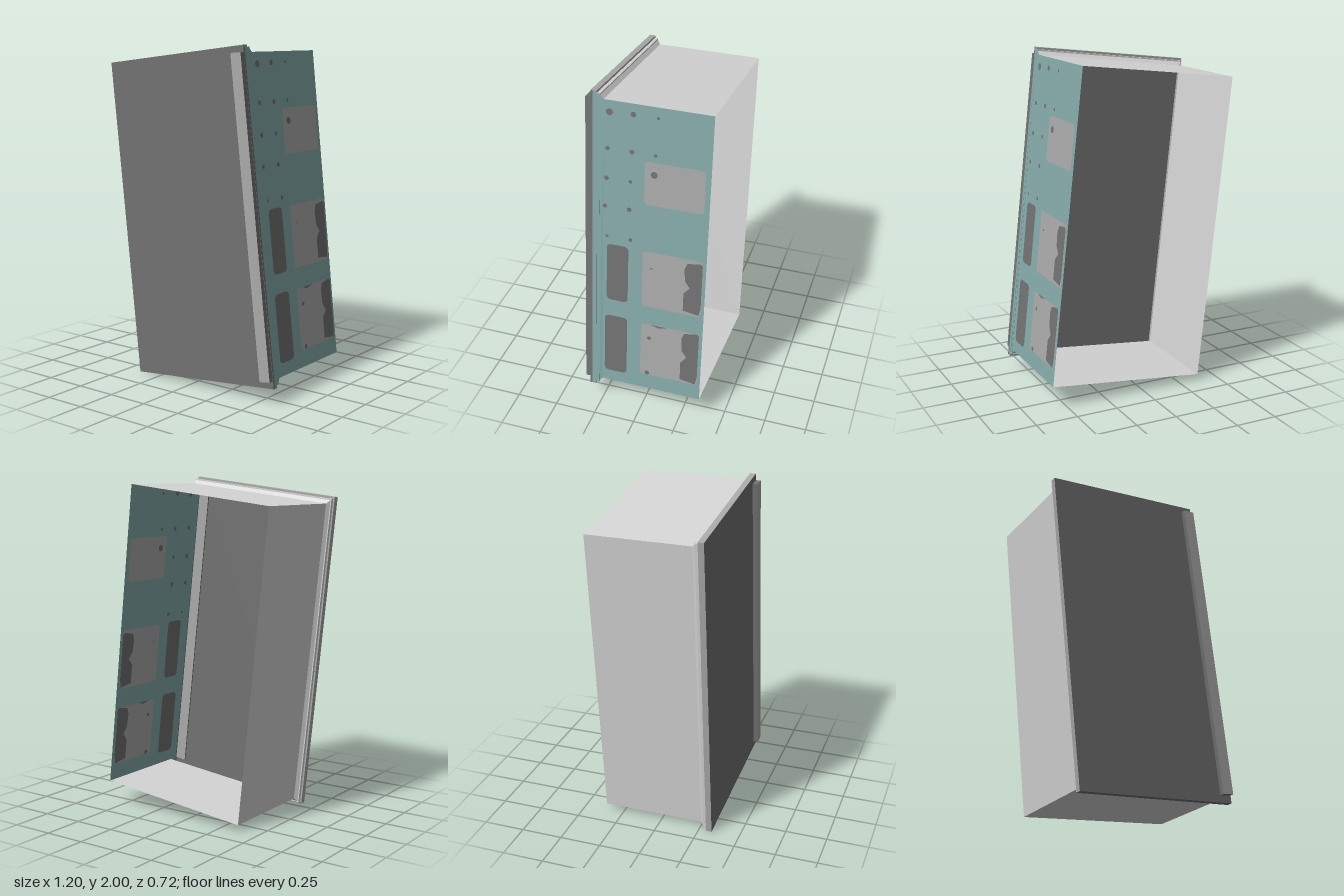
import * as THREE from 'three';

const mat = (name, color) => {
  const m = new THREE.MeshStandardMaterial({ color, side: THREE.DoubleSide });
  m.name = name;
  return m;
};

// corners run top left, top right, bottom right, bottom left
const BODY = [[-0.565, 1.848], [0.384, 1.96], [0.587, 0.14], [-0.37, 0.038]];
const RIM = [[-0.6, 1.885], [0.38, 2.0], [0.6, 0.095], [-0.4, 0]];
const outline = (t) => BODY.map((b, i) => b.map((v, k) => v + (RIM[i][k] - v) * t));

// x of the tilted side wall at a given height
const wallX = (y) => {
  const [, [x1, y1], [x2, y2]] = BODY;
  return x1 + (x2 - x1) * (y1 - y) / (y1 - y2);
};

function quads(list) {
  const pos = [];
  for (const [a, b, c, d] of list) pos.push(...a, ...b, ...c, ...a, ...c, ...d);
  const g = new THREE.BufferGeometry();
  g.setAttribute('position', new THREE.Float32BufferAttribute(pos, 3));
  g.computeVertexNormals();
  return g;
}

// one side face between two outlines at two depths
const sideQuad = (p, z0, q, z1, i) => {
  const j = (i + 1) % 4;
  return [[...p[i], z0], [...q[i], z1], [...q[j], z1], [...p[j], z0]];
};

const capQuad = (p, z, front) => {
  const c = p.map((v) => [...v, z]);
  return front ? [c[3], c[2], c[1], c[0]] : c;
};

function roundedRect(z0, z1, y0, y1, r) {
  const a = -z0, b = -z1, s = new THREE.Shape();
  s.moveTo(a + r, y0).lineTo(b - r, y0).quadraticCurveTo(b, y0, b, y0 + r);
  s.lineTo(b, y1 - r).quadraticCurveTo(b, y1, b - r, y1);
  s.lineTo(a + r, y1).quadraticCurveTo(a, y1, a, y1 - r);
  s.lineTo(a, y0 + r).quadraticCurveTo(a, y0, a + r, y0);
  return s;
}

const polygon = (pts) => new THREE.Shape(pts.map(([z, y]) => new THREE.Vector2(-z, y)));
const dot = (z, y, r) => new THREE.Shape().absarc(-z, y, r, 0, Math.PI * 2);

export function createModel() {
  const light = mat('lightGrey', 0xd6d6d6);
  const mid = mat('midGrey', 0xaaaaaa);
  const dark = mat('darkGrey', 0x727272);
  const teal = mat('teal', 0x86aaaa);
  const model = new THREE.Group();
  const add = (name, geo, m) => {
    const mesh = new THREE.Mesh(geo, m);
    mesh.name = name;
    model.add(mesh);
  };

  // hollow casing, open at the back, stepping out towards the front rim
  const rings = [[-0.36, 0], [0.255, 0], [0.275, 0.5], [0.275, 0.7], [0.295, 0.7], [0.295, 1], [0.318, 1], [0.33, 1]];
  const parts = { casing: [], sideWall: [], rim: [], rimShade: [] };
  for (let k = 0; k < rings.length - 1; k++) {
    const [z0, t0] = rings[k], [z1, t1] = rings[k + 1];
    for (let i = 0; i < 4; i++) {
      let part = k < 4 ? 'casing' : 'rim';
      if (i === 1) part = k < 6 ? 'sideWall' : 'rimShade';
      if (i === 2 && k >= 4) part = 'rimShade';
      parts[part].push(sideQuad(outline(t0), z0, outline(t1), z1, i));
    }
  }
  add('casing', quads(parts.casing), light);
  add('sideWall', quads(parts.sideWall), teal);
  add('rim', quads(parts.rim), mid);
  add('rimShadeEdges', quads(parts.rimShade), dark);
  add('frontPanel', quads([capQuad(RIM, 0.33, true)]), dark);

  // long handle strip on the front, showing through to the inside
  const strip = [[0.315, 1.955], [0.384, 1.96], [0.592, 0.14], [0.523, 0.13]];
  add('handleStripFaces', quads([capQuad(strip, 0.36, true), capQuad(strip, 0.322, false)]), mid);
  add('handleStripEdges', quads([0, 1, 2, 3].map((i) => sideQuad(strip, 0.322, strip, 0.36, i))), dark);

  // painted patches, laid on both faces of the side wall
  const paint = (name, shapes, m, off) => {
    for (const s of [1, -1]) {
      const g = new THREE.ShapeGeometry(shapes, 6);
      const p = g.attributes.position;
      for (let i = 0; i < p.count; i++) {
        const u = p.getX(i), y = p.getY(i);
        p.setXYZ(i, wallX(y) + s * off, y, -u);
      }
      g.computeVertexNormals();
      add(name + (s > 0 ? 'Outside' : 'Inside'), g, m);
    }
  };
  paint('palePatches', [
    roundedRect(0.015, -0.33, 1.38, 1.64, 0.025),
    roundedRect(0.015, -0.34, 0.72, 1.085, 0.02),
    roundedRect(0.015, -0.34, 0.24, 0.6, 0.02),
  ], mid, 0.002);
  const ragged = (y0, y1) => {
    const h = y1 - y0, at = (z, f) => [z, y0 + h * f];
    return polygon([at(-0.235, 0.04), at(-0.33, 0), at(-0.34, 0.15), at(-0.34, 0.97), at(-0.325, 1),
      at(-0.25, 0.96), at(-0.235, 0.85), at(-0.24, 0.62), at(-0.27, 0.5), at(-0.235, 0.38)]);
  };
  paint('darkPatches', [
    roundedRect(0.23, 0.1, 0.72, 1.09, 0.03),
    roundedRect(0.24, 0.1, 0.215, 0.61, 0.03),
    ragged(0.73, 1.07), ragged(0.245, 0.6),
    polygon([[-0.04, 0.6], [-0.09, 0.587], [-0.15, 0.6]]),
  ], dark, 0.004);
  const dots = [
    [0.22, 1.895, 0.02], [0.085, 1.9, 0.016], [-0.055, 1.9, 0.009],
    [0.23, 1.682, 0.013], [0.09, 1.682, 0.014], [-0.045, 1.682, 0.01],
    [0.235, 1.503, 0.014], [0.095, 1.503, 0.011], [0.243, 1.33, 0.013], [0.1, 1.33, 0.014],
    [0.23, 1.14, 0.009], [0.09, 1.14, 0.012], [-0.04, 1.567, 0.02],
    [-0.04, 0.98, 0.006], [-0.037, 0.505, 0.012], [-0.03, 0.255, 0.014],
  ];
  paint('darkDots', dots.map((d) => dot(...d)), dark, 0.004);
  return model;
}
